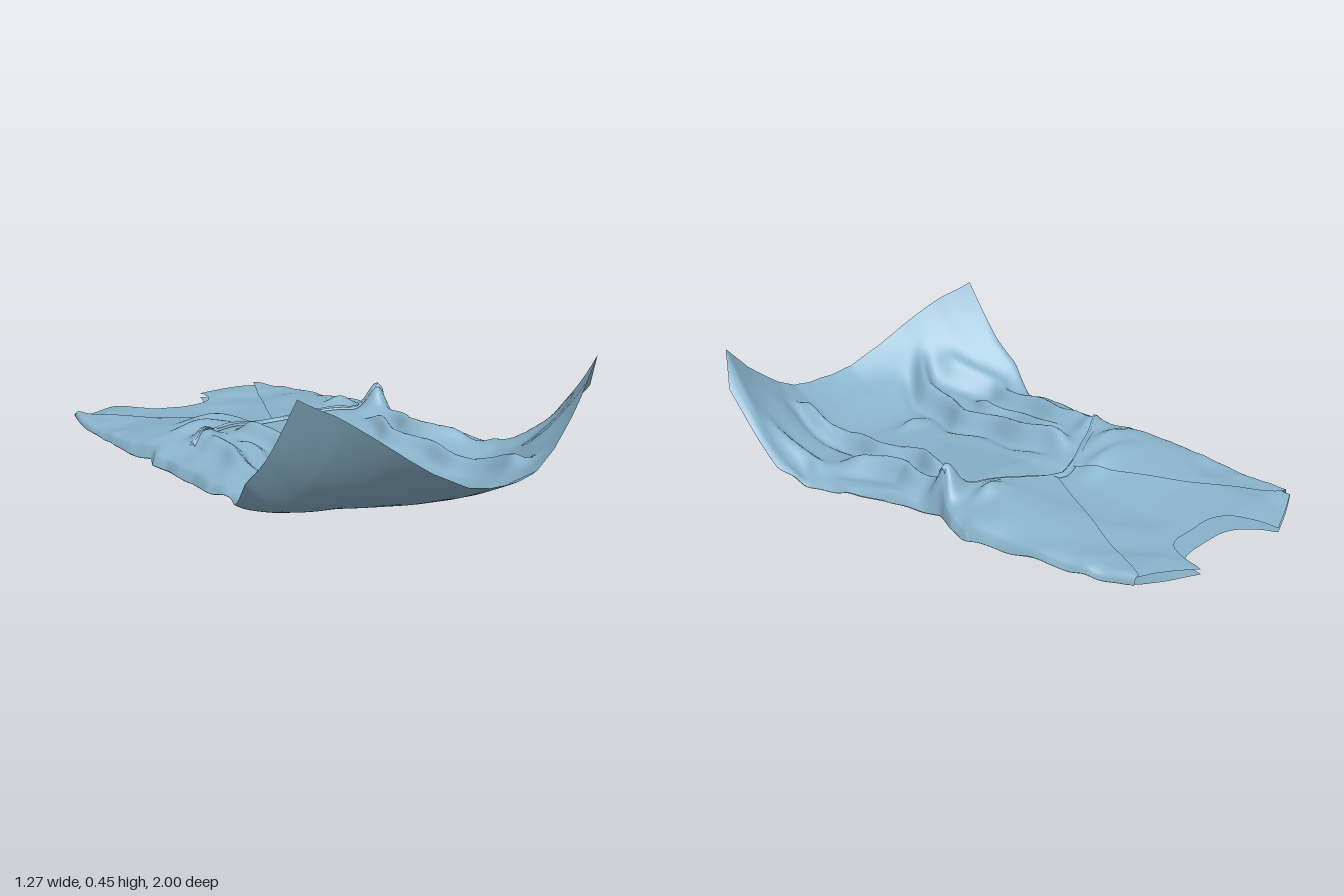
import * as THREE from 'three';

const { smoothstep } = THREE.MathUtils;

// Linear interpolation through [key, value] pairs
function lerpTable(table, k) {
  if (k <= table[0][0]) return table[0][1];
  for (let i = 1; i < table.length; i++) {
    const [k0, v0] = table[i - 1], [k1, v1] = table[i];
    if (k <= k1) return v0 + (v1 - v0) * (k - k0) / (k1 - k0);
  }
  return table[table.length - 1][1];
}

// Half widths of the dress along z, for -x and +x
const widthRight = [[-1, 0.42], [-0.91, 0.43], [-0.82, 0.46], [-0.6, 0.5], [-0.35, 0.53], [-0.27, 0.52],
  [-0.22, 0.51], [-0.16, 0.545], [-0.1, 0.53], [0, 0.55], [0.1, 0.55], [0.22, 0.58], [0.35, 0.57], [0.42, 0.6],
  [0.52, 0.635], [0.6, 0.62], [0.8, 0.61]];
const widthLeft = [[-1, 0.4], [-0.88, 0.44], [-0.75, 0.48], [-0.6, 0.505], [-0.4, 0.515], [-0.28, 0.54], [-0.2, 0.52],
  [-0.1, 0.46], [0, 0.49], [0.2, 0.54], [0.4, 0.59], [0.52, 0.635], [0.8, 0.63]];
const halfWidth = (side, z) => lerpTable(side < 0 ? widthRight : widthLeft, z);

// Outline of the hem and shoulders, and the extra height of the hem, across the width
const hemLine = [[-1, 0.75], [-0.8, 0.84], [-0.6, 0.91], [-0.4, 0.96], [-0.2, 0.99], [0, 1],
  [0.2, 0.99], [0.4, 0.96], [0.6, 0.92], [0.92, 0.84], [1, 0.77]];
const hemRise = [[-1, 0.305], [-0.85, 0.26], [-0.7, 0.195], [-0.55, 0.125], [-0.43, 0.075], [-0.24, 0.018], [-0.1, 0.003],
  [0.1, 0.003], [0.24, 0.018], [0.4, 0.065], [0.5, 0.105], [0.7, 0.19], [0.92, 0.305], [1, 0.18]];
const shoulderLine = [[-1, -0.91], [-0.5, -1], [0.5, -0.975], [1, -0.87]];
const fullness = [[-1, 0.012], [-0.85, 0.045], [-0.6, 0.06], [-0.3, 0.1], [-0.1, 0.115], [0.1, 0.095],
  [0.3, 0.065], [0.55, 0.05], [0.8, 0.025], [1, 0]];

// Long skirt folds: path points [z, x], height, width
const folds = [
  { path: [[-0.15, -0.16], [0.1, -0.18], [0.4, -0.2], [0.65, -0.27], [0.82, -0.36]], h: 0.055, w: 0.035 },
  { path: [[-0.1, -0.36], [0.2, -0.42], [0.5, -0.5], [0.75, -0.42]], h: 0.04, w: 0.04 },
  { path: [[-0.05, -0.28], [0.2, -0.31], [0.5, -0.36]], h: 0.03, w: 0.035 },
  { path: [[0, 0.3], [0.2, 0.24], [0.4, 0.25], [0.65, 0.24], [0.88, 0.26]], h: 0.05, w: 0.03 },
  { path: [[-0.1, 0.42], [0.15, 0.36], [0.42, 0.42]], h: 0.045, w: 0.035 },
  { path: [[0.4, 0.5], [0.7, 0.52]], h: 0.03, w: 0.03 },
];

// Isolated crumples: x, z, height, radius in x, radius in z
const lumps = [
  [0.43, -0.09, 0.15, 0.06, 0.045], [0.34, -0.21, 0.03, 0.06, 0.03], [-0.17, -0.32, 0.025, 0.13, 0.04],
  [-0.32, -0.23, 0.03, 0.12, 0.04], [-0.36, -0.1, 0.03, 0.07, 0.04], [-0.05, 0.53, 0.025, 0.06, 0.03],
];

// Broad bent waves with a few sharper creases, used as cloth wrinkles
function wrinkle(x, z) {
  const a = x + 0.09 * Math.sin(5 * z + 2 * x) + 0.03 * Math.sin(13 * z);
  const b = z + 0.11 * Math.sin(6 * x - 2 * z) + 0.04 * Math.sin(17 * x);
  return 0.5 * Math.sin(13 * a + 4 * b) + 0.4 * Math.sin(8 * b - 9 * a + 1.3)
    + 0.5 * (0.5 - Math.abs(Math.sin(9 * a - 3 * b + 0.6))) + 0.2 * Math.sin(17 * b + 19 * a);
}

// Lower cloth: flat with softly rolled sides, then sweeping up towards the hem and its corners
function lowerY(u, v, x, z) {
  const curl = Math.max(0, (v - 0.78) / 0.22) ** (1.65 - 0.2 * Math.abs(u));
  const edge = Math.abs(u) ** 8 * (1 - 0.8 * Math.min(1, curl));
  return 0.018 + (0.132 + lerpTable(hemRise, u)) * curl + 0.012 * smoothstep(-z, 0.75, 1)
    + edge * (0.035 + 0.012 * wrinkle(2 * x, 2 * z))
    + 0.004 * wrinkle(x, z) * (1 - curl);
}

// Upper cloth: fullness, folds and crumples, meeting the lower cloth at the sides and hem
function upperY(u, v, x, z) {
  const closed = Math.sqrt(Math.max(0, 1 - Math.abs(u) ** 6)) * smoothstep(1 - v, 0, 0.1);
  let h = lerpTable(fullness, z) * (0.7 + 0.3 * Math.min(1, Math.abs(x) * 3));
  for (const { path, h: fh, w } of folds) {
    const d = (x - lerpTable(path, z) - 0.012 * Math.sin(21 * z)) / w;
    const ends = smoothstep(z, path[0][0] - 0.04, path[0][0] + 0.1)
      * (1 - smoothstep(z, path.at(-1)[0] - 0.1, path.at(-1)[0] + 0.03));
    h += fh * ends * (Math.exp(-d * d) - 0.35 * Math.exp(-((d - 2) ** 2)));
  }
  for (const [lx, lz, lh, rx, rz] of lumps) {
    h += lh * Math.exp(-(((x - lx) / rx) ** 2) - ((z - lz) / rz) ** 2);
  }
  const rough = 0.003 + 0.009 * smoothstep(Math.abs(x), 0.1, 0.45);
  h += rough * wrinkle(x, z);
  return lowerY(u, v, x, z) + closed * Math.max(h, 0.004) + 0.001;
}

// Neckline scooped into the shoulder line
function topZ(u, neckZ) {
  const s = lerpTable(shoulderLine, u), k = Math.abs(u) / 0.49;
  return k < 1 ? neckZ + (s - neckZ) * k ** 4 : s;
}

function place(u, v, neckZ) {
  const top = topZ(u, neckZ);
  const z = top + (lerpTable(hemLine, u) - top) * v;
  return [u * halfWidth(u, z), z];
}

// Height of a piece lying on the front panel at a given x, z
function frontY(x, z) {
  const u = THREE.MathUtils.clamp(x / halfWidth(x, z), -1, 1), top = topZ(u, -0.8);
  return upperY(u, Math.max(0, (z - top) / (lerpTable(hemLine, u) - top)), x, z);
}

// Sheet of nu by nv cells; at(s, t) returns [x, y, z]
function sheet(nu, nv, at) {
  const pos = [], index = [];
  for (let j = 0; j <= nv; j++) for (let i = 0; i <= nu; i++) pos.push(...at(i / nu, j / nv));
  for (let j = 0; j < nv; j++) {
    for (let i = 0; i < nu; i++) {
      const a = j * (nu + 1) + i, b = a + nu + 1;
      index.push(a, b, a + 1, b, b + 1, a + 1);
    }
  }
  const g = new THREE.BufferGeometry();
  g.setAttribute('position', new THREE.Float32BufferAttribute(pos, 3));
  g.setIndex(index);
  g.computeVertexNormals();
  return g;
}

export function createModel() {
  const group = new THREE.Group();
  group.name = 'dress';
  const cloth = new THREE.MeshStandardMaterial({ color: 0x8ab4cc, side: THREE.DoubleSide });
  const add = (name, geometry) => {
    const mesh = new THREE.Mesh(geometry, cloth);
    mesh.name = name;
    group.add(mesh);
  };

  // Back and front of the dress
  for (const [name, neckZ, height] of [['backPanel', -0.85, lowerY], ['frontPanel', -0.8, upperY]]) {
    add(name, sheet(100, 140, (s, t) => {
      const u = 2 * s - 1;
      const [x, z] = place(u, t, neckZ);
      return [x, height(u, t, x, z), z];
    }));
  }

  // Crossed bodice panels, leaving a V from the shoulders to the waist
  const inner = [[-0.9, 0.42], [-0.27, 0.05], [-0.24, 0.06], [-0.17, 0.22], [-0.08, 0.41]];
  const cuff = [[-0.3, 0.54], [-0.2, 0.5], [-0.13, 0.46], [-0.08, 0.42]];
  for (const side of [-1, 1]) {
    add(side < 0 ? 'rightBodice' : 'leftBodice', sheet(36, 70, (s, t) => {
      const z = -0.89 + 0.81 * t;
      const outer = Math.min(halfWidth(side, z), lerpTable(cuff, z));
      const k = side < 0 ? 1 - s : s;
      const from = Math.min(lerpTable(inner, z), outer - 0.005);
      const x = side * (from + (outer - from) * k);
      return [x, frontY(x, z) + 0.012 * (1 - k ** 6) + 0.001, z];
    }));
  }

  // Waist seam bands running down from the middle to each side
  for (const side of [-1, 1]) {
    add(side < 0 ? 'rightWaistBand' : 'leftWaistBand', sheet(30, 4, (s, t) => {
      const r = side < 0 ? 1 - s : s;
      const x = side * 0.43 * r, z = -0.275 + 0.18 * r ** 1.3 + 0.03 * t;
      return [x, frontY(x, z) + 0.004 + 0.012 * Math.sin(Math.PI * t), z];
    }));
  }
  return group;
}
